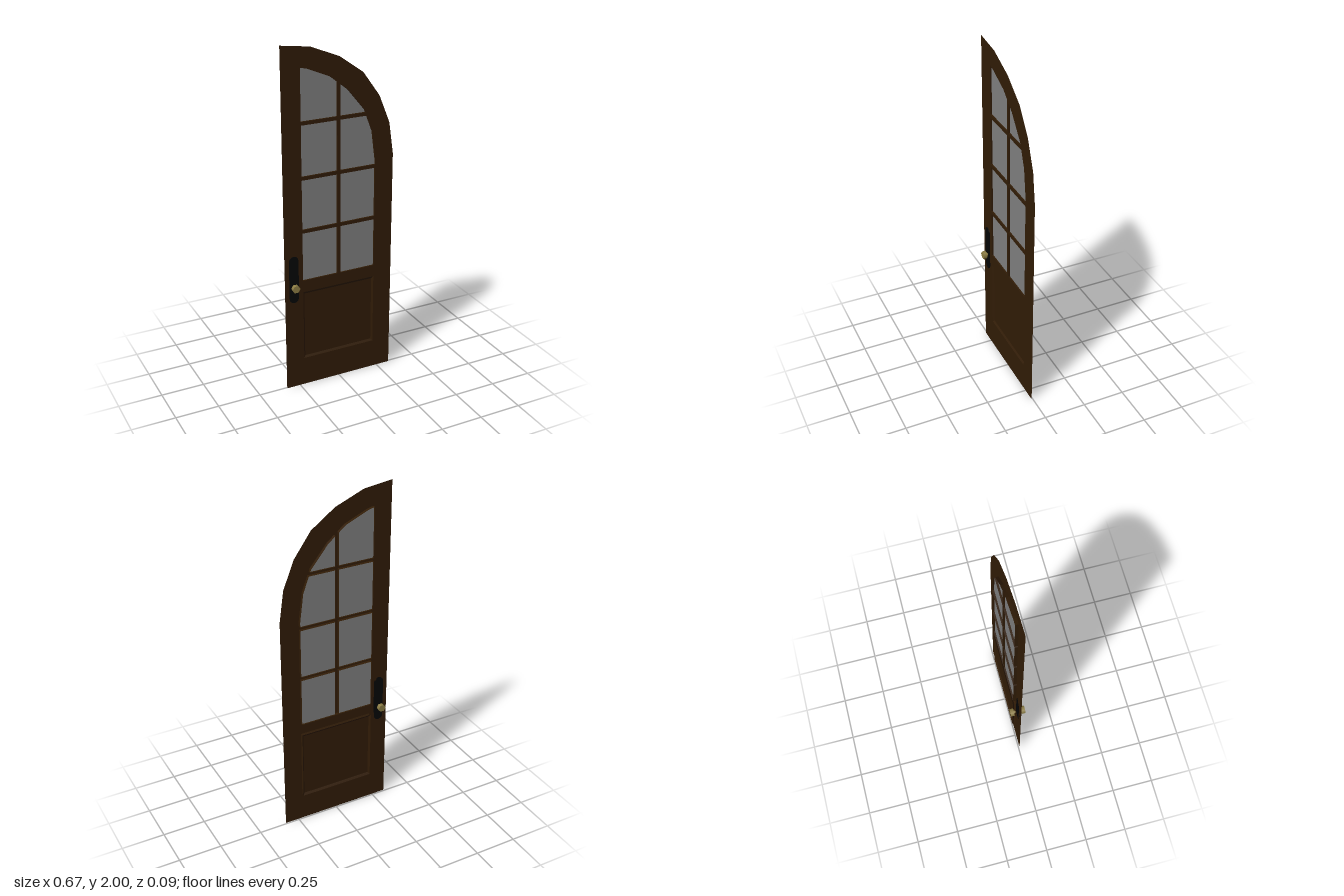
import * as THREE from 'three';

// Depths: frame face, back edge of the reveals, panel and glass
const FRONT = 0.007, BACK = -0.011, PANEL = -0.001, GLASS = -0.002;

const toShape = loop => new THREE.Shape(loop.map(([x, y]) => new THREE.Vector2(x, y)));

// Flat face from a counter-clockwise loop with holes
function face(loop, holes, z) {
  const shape = toShape(loop);
  shape.holes = holes.map(toShape);
  return new THREE.ShapeGeometry(shape).translate(0, 0, z);
}

// Inward-facing wall between a front loop and a back loop
function band(a, za, b, zb) {
  const pos = [];
  a.forEach((p, i) => {
    const j = (i + 1) % a.length;
    const A = [...p, za], B = [...a[j], za], C = [...b[j], zb], D = [...b[i], zb];
    pos.push(...A, ...B, ...C, ...A, ...C, ...D);
  });
  const geo = new THREE.BufferGeometry();
  geo.setAttribute('position', new THREE.Float32BufferAttribute(pos, 3));
  geo.computeVertexNormals();
  return geo;
}

// Keep the part of a convex loop where sign * p[axis] >= sign * limit
function clip(loop, axis, limit, sign) {
  const out = [];
  loop.forEach((p, i) => {
    const q = loop[(i + 1) % loop.length];
    const dp = sign * (p[axis] - limit), dq = sign * (q[axis] - limit);
    if (dp >= 0) out.push(p);
    if (dp * dq < 0) {
      const t = dp / (dp - dq);
      out.push([p[0] + t * (q[0] - p[0]), p[1] + t * (q[1] - p[1])]);
    }
  });
  return out;
}

const rect = (w, y0, y1) => [[-w, y0], [w, y0], [w, y1], [-w, y1]];

export function createModel() {
  const door = new THREE.Group();
  door.name = 'archedDoor';
  const material = (name, color, side = THREE.FrontSide) => {
    const m = new THREE.MeshStandardMaterial({ color, side });
    m.name = name;
    return m;
  };
  const wood = material('darkWood', 0x311c06, THREE.DoubleSide);
  const glass = material('greyGlass', 0x808080, THREE.DoubleSide);
  const iron = material('blackIron', 0x040506, THREE.DoubleSide);
  const brass = material('brass', 0x8f8046);
  const add = (name, geo, mat) => {
    const mesh = new THREE.Mesh(geo, mat);
    mesh.name = name;
    door.add(mesh);
  };

  // Quarter-arched outline and window opening
  const outline = [[-0.333, 0], [0.333, 0], [0.333, 1.327], [0.307, 1.51], [0.243, 1.67],
    [0.143, 1.81], [0.003, 1.91], [-0.164, 1.978], [-0.333, 2]];
  const opening = [[-0.222, 0.667], [0.222, 0.667], [0.222, 1.312], [0.201, 1.476], [0.153, 1.603],
    [0.053, 1.725], [-0.053, 1.81], [-0.185, 1.866], [-0.222, 1.875]];

  // Eight panes left between the glazing bars
  const bar = 0.01, bars = [0.963, 1.271, 1.577];
  const panes = [];
  for (const side of [-1, 1]) {
    for (let row = 0; row < 4; row++) {
      let pane = clip(opening, 0, side * bar, side);
      if (row > 0) pane = clip(pane, 1, bars[row - 1] + bar, 1);
      if (row < 3) pane = clip(pane, 1, bars[row] - bar, -1);
      panes.push(pane);
    }
  }

  // Frame, the reveals around each pane, and the sill under the middle bar
  const panelOuter = rect(0.222, 0.172, 0.596), panelInner = rect(0.212, 0.184, 0.582);
  add('frame', face(outline, [...panes, panelOuter], FRONT), wood);
  panes.forEach((pane, i) => {
    add('paneReveal' + i, band(pane, FRONT, pane, BACK), wood);
    add('glassPane' + i, face(pane, [], GLASS), glass);
  });
  add('middleSill', new THREE.PlaneGeometry(2 * bar, FRONT - BACK).rotateX(-Math.PI / 2)
    .translate(0, 0.667, (FRONT + BACK) / 2), wood);

  // Recessed lower panel with a bevelled border on both sides
  add('panelBevelFront', band(panelOuter, FRONT, panelInner, PANEL), wood);
  add('panel', face(panelInner, [], PANEL), wood);
  add('panelBevelBack', band(panelInner, PANEL, panelOuter, BACK), wood);

  // Handle plates with rounded ends
  const hx = -0.278, plate = [], r = 0.028;
  for (const [cy, start] of [[0.799, 0], [0.571, Math.PI]]) {
    for (let i = 0; i <= 6; i++) {
      const a = start + i * Math.PI / 6;
      plate.push([hx + r * Math.cos(a), cy + r * Math.sin(a)]);
    }
  }
  add('handlePlateFront', new THREE.ExtrudeGeometry(toShape(plate), { depth: 0.004, bevelEnabled: false })
    .translate(0, 0, FRONT), iron);
  add('handlePlateBack', face(plate, [], 0), iron);

  // Six-sided knobs on short stems
  const prism = (radius, z0, z1) =>
    new THREE.CylinderGeometry(radius, radius, z1 - z0, 6, 1, false, Math.PI / 6)
      .rotateX(Math.PI / 2).translate(hx, 0.641, (z0 + z1) / 2);
  add('knobFront', prism(0.023, 0.021, 0.043), brass);
  add('knobStemFront', prism(0.0075, 0.011, 0.021), brass);
  add('knobBack', prism(0.023, -0.043, -0.021), brass);
  add('knobStemBack', prism(0.0075, -0.021, -0.0125), brass);

  return door;
}
